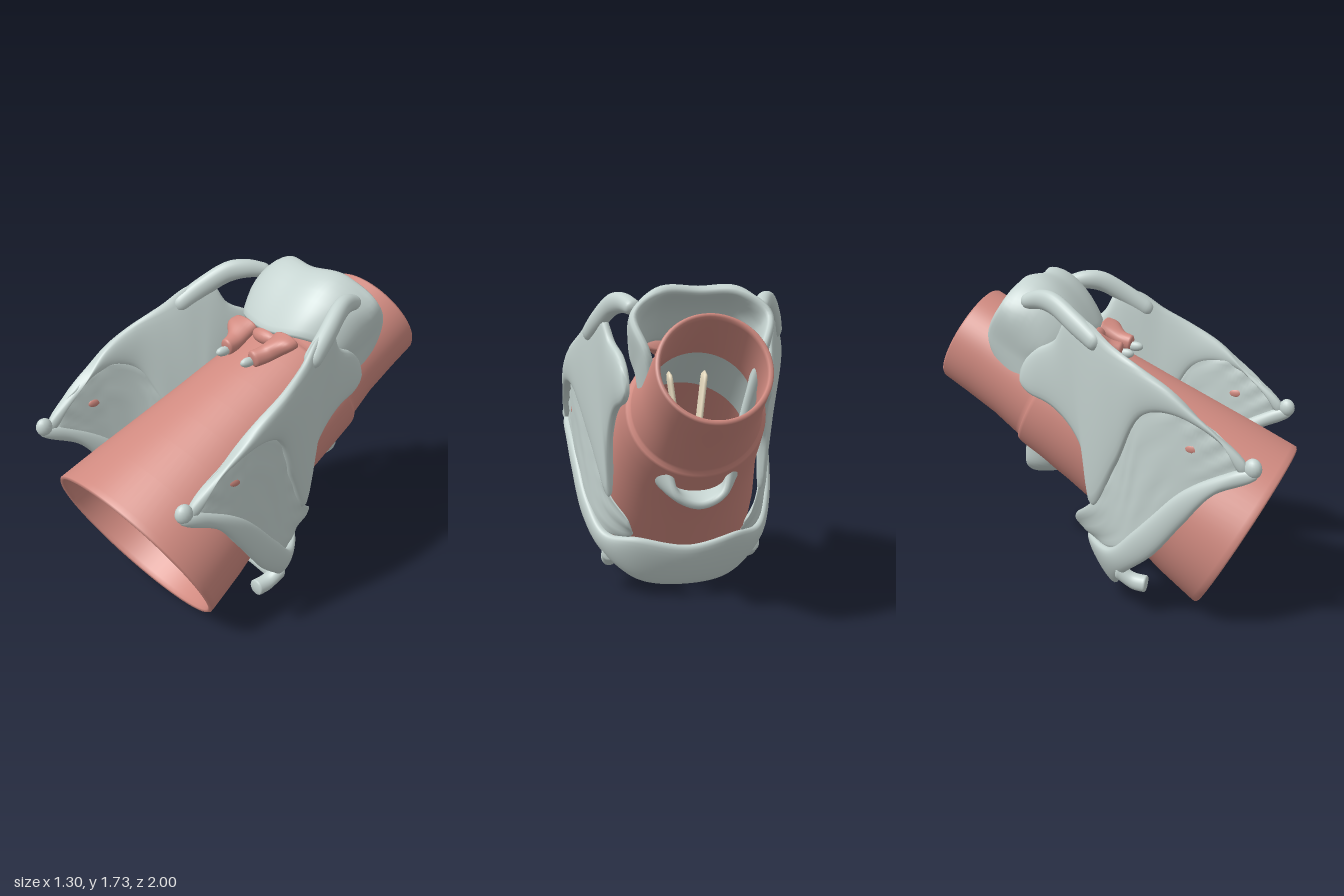
import * as THREE from 'three';
import { mergeVertices } from 'three/addons/utils/BufferGeometryUtils.js';

const mat = (color) => new THREE.MeshStandardMaterial({ color, side: THREE.DoubleSide });

export function createModel() {
  const group = new THREE.Group();
  const cartilage = mat(0xc5d3d0), mucosa = mat(0xd08a80), ligament = mat(0xe8dcc0), pit = mat(0x6b3a35);

  // Everything is laid out symmetrically, then sheared slightly sideways along z
  function add(name, geo, material) {
    geo.deleteAttribute('uv');
    geo.deleteAttribute('normal');
    const p = geo.attributes.position;
    for (let i = 0; i < p.count; i++) p.setX(i, p.getX(i) + 0.035 - 0.085 * p.getZ(i));
    const merged = mergeVertices(geo, 1e-5);
    merged.computeVertexNormals();
    const mesh = new THREE.Mesh(merged, material);
    mesh.name = name;
    group.add(mesh);
  }

  // Loft of flattened sections; each row holds the two edge points [ax,ay,az, bx,by,bz]
  function band(name, rows, th, material, { side = 1, closed = false, round = 0.6, bend } = {}) {
    const edge = (o) => new THREE.CatmullRomCurve3(
      rows.map((r) => new THREE.Vector3(r[o] * side, r[o + 1], r[o + 2])), closed);
    const A = edge(0), B = edge(3), N = rows.length * 9, M = 24, pos = [], idx = [];
    const mid = (t) => A.getPoint(t).add(B.getPoint(t)).multiplyScalar(0.5);
    for (let i = 0; i <= N; i++) {
      const t = i / N, c = mid(t);
      const half = A.getPoint(t).sub(c);
      const wrap = (v) => closed ? (v + 1) % 1 : Math.min(1, Math.max(0, v));
      const tangent = mid(wrap(t + 0.004)).sub(mid(wrap(t - 0.004)));
      const n = tangent.cross(half).normalize();
      const d = Math.min(1, Math.min(t, 1 - t) / 0.07);
      const k = closed ? 1 : Math.sqrt(1 - (1 - d) ** 2);
      for (let j = 0; j <= M; j++) {
        const f = (j % M) / M * Math.PI * 2, s = Math.sin(f);
        const q = c.clone().addScaledVector(half, Math.cos(f) * k)
          .addScaledVector(n, th * k * Math.sign(s) * Math.abs(s) ** round);
        if (bend) bend(q);
        pos.push(q.x, q.y, q.z);
        if (i < N && j < M) {
          const a = i * (M + 1) + j, b = a + M + 1;
          idx.push(a, a + 1, b, a + 1, b + 1, b);
        }
      }
    }
    const geo = new THREE.BufferGeometry();
    geo.setAttribute('position', new THREE.Float32BufferAttribute(pos, 3));
    geo.setIndex(idx);
    add(name, geo, material);
  }

  function blob(name, [x, y, z], [rx, ry, rz], material) {
    add(name, new THREE.SphereGeometry(1, 16, 12).scale(rx, ry, rz).translate(x, y, z), material);
  }

  // Tapering tube from [radius, distance] pairs, slightly oval, tilted 30 degrees
  function tube(name, profile, material) {
    const geo = new THREE.LatheGeometry(profile.map(([r, s]) => new THREE.Vector2(r, s)), 72);
    const p = geo.attributes.position;
    for (let i = 0; i < p.count; i++) {
      const s = p.getY(i) / 1.867;
      p.setX(i, p.getX(i) * (1.075 - 0.075 * s));
      p.setZ(i, p.getZ(i) + 0.035 * Math.sin(Math.PI * s) ** 2);
    }
    geo.applyMatrix4(new THREE.Matrix4().makeBasis(
      new THREE.Vector3(1, 0, 0), new THREE.Vector3(0, 0.5, -0.866), new THREE.Vector3(0, 0.866, 0.5)));
    add(name, geo.translate(0, 0.42, 0.755), material);
  }

  // Airway with a step towards the narrow end, and a pale lining in its middle
  tube('airwayTube', [[0.47, 0.03], [0.475, 0.008], [0.486, 0], [0.497, 0.01], [0.495, 0.04], [0.475, 0.25],
    [0.448, 0.45], [0.425, 0.62], [0.405, 0.78], [0.39, 0.95], [0.375, 1.15], [0.362, 1.28], [0.355, 1.3],
    [0.338, 1.305], [0.335, 1.33], [0.305, 1.5], [0.29, 1.7], [0.285, 1.855], [0.277, 1.867], [0.262, 1.864],
    [0.256, 1.84], [0.27, 1.5], [0.32, 1.25], [0.37, 0.8], [0.44, 0.35], [0.47, 0.03]], mucosa);
  tube('innerLining', [[0.362, 0.83], [0.347, 0.83], [0.337, 0.86], [0.3, 1.25], [0.27, 1.42]], cartilage);

  // Ring cartilage: tall bulging hood on top, narrow arch breaking out below the tube
  const ringHalf = [
    [0, 1.42, -0.1, 0, 1.67, -0.43],
    [0.2, 1.42, -0.14, 0.21, 1.69, -0.47],
    [0.31, 1.36, -0.26, 0.345, 1.59, -0.53],
    [0.3, 1.26, -0.36, 0.29, 1.41, -0.63],
    [0.27, 1.0, -0.32, 0.22, 1.1, -0.53],
    [0.27, 0.8, -0.24, 0.16, 0.84, -0.47],
    [0.17, 0.7, -0.22, 0.12, 0.67, -0.49],
    [0, 0.66, -0.3, 0, 0.61, -0.48]];
  const flip = (r) => [-r[0], r[1], r[2], -r[3], r[4], r[5]];
  const bulge = (q) => {
    const w = Math.min(1, Math.max(0, (-q.z - 0.1) / 0.37));
    q.y += 0.075 * Math.sin(Math.PI * w) * THREE.MathUtils.smoothstep(q.y, 1.35, 1.5);
  };
  band('ringCartilage', [...ringHalf, ...ringHalf.slice(1, -1).reverse().map(flip)], 0.032, cartilage,
    { closed: true, bend: bulge });

  // U-shaped bone sweeping below the tube
  const boneHalf = [
    [0.59, 0.95, 0.9, 0.6, 0.86, 0.91],
    [0.59, 0.9, 0.76, 0.58, 0.78, 0.69],
    [0.57, 0.77, 0.52, 0.56, 0.6, 0.53],
    [0.52, 0.51, 0.26, 0.52, 0.39, 0.36],
    [0.44, 0.36, 0.1, 0.43, 0.23, 0.18],
    [0.28, 0.36, -0.06, 0.26, 0.09, 0.09],
    [0, 0.31, -0.1, 0, 0.06, 0.04]];
  band('hyoidBone', [...boneHalf, ...boneHalf.slice(0, -1).reverse().map(flip)], 0.036, cartilage, { round: 0.8 });

  for (const side of [1, -1]) {
    const o = { side }, tag = side > 0 ? 'left' : 'right';
    // Side plate, from the slender front horn to the broad blade
    band(tag + 'SidePlate', [
      [0.59, 0.94, 0.88, 0.59, 0.86, 0.82],
      [0.6, 1.14, 0.62, 0.6, 1.03, 0.72],
      [0.61, 1.28, 0.46, 0.6, 1.16, 0.48],
      [0.595, 1.375, 0.3, 0.57, 1.13, 0.31],
      [0.55, 1.465, 0.14, 0.49, 0.83, 0.15],
      [0.495, 1.56, 0, 0.425, 0.58, 0],
      [0.455, 1.56, -0.12, 0.42, 0.9, -0.06],
      [0.42, 1.44, -0.2, 0.4, 1.08, -0.22],
      [0.375, 1.36, -0.38, 0.36, 1.15, -0.46]], 0.034, cartilage, o);
    // Hooked rear horn
    band(tag + 'RearHorn', [
      [0.53, 1.48, 0.1, 0.515, 1.4, 0.06],
      [0.48, 1.59, -0.05, 0.465, 1.49, -0.09],
      [0.42, 1.675, -0.2, 0.41, 1.56, -0.2],
      [0.375, 1.68, -0.3, 0.365, 1.58, -0.28],
      [0.32, 1.64, -0.42, 0.32, 1.57, -0.4]], 0.043, cartilage, { side, round: 0.9 });
    // Thin membrane between plate and bone, gently rippled
    band(tag + 'Membrane', [
      [0.585, 0.99, 0.8, 0.585, 0.84, 0.79],
      [0.585, 1.1, 0.67, 0.575, 0.78, 0.64],
      [0.58, 1.19, 0.48, 0.56, 0.66, 0.48],
      [0.555, 1.14, 0.3, 0.53, 0.48, 0.33],
      [0.475, 0.83, 0.14, 0.48, 0.39, 0.2],
      [0.42, 0.6, 0, 0.4, 0.35, 0.08],
      [0.33, 0.47, -0.16, 0.29, 0.35, -0.04]], 0.009, cartilage,
    { side, bend: (q) => { q.x += 0.004 * Math.sin(55 * (q.y - 0.55 * q.z)); } });
    blob(tag + 'MembraneOpening', [side * 0.577, 0.99, 0.57], [0.014, 0.025, 0.04], mucosa);
    // Knobs of the U-shaped bone
    blob(tag + 'BoneTip', [side * 0.59, 0.93, 0.87], [0.036, 0.05, 0.045], cartilage);
    band(tag + 'LesserHorn', [
      [0.42, 0.3, 0.14, 0.42, 0.2, 0.12],
      [0.41, 0.23, 0.22, 0.41, 0.14, 0.22],
      [0.41, 0.22, 0.31, 0.41, 0.13, 0.3]], 0.042, cartilage, { side, round: 0.9 });
    // Small paired pieces on top, with pale tips and cords running through the lumen
    band(tag + 'UpperPiece', [
      [0.24, 1.42, -0.12, 0.07, 1.42, -0.12],
      [0.235, 1.41, -0.06, 0.075, 1.385, -0.07],
      [0.17, 1.36, 0, 0.07, 1.35, 0],
      [0.135, 1.34, 0.08, 0.065, 1.33, 0.07]], 0.046, mucosa, { side, round: 0.9 });
    blob(tag + 'UpperPieceTip', [side * 0.095, 1.325, 0.09], [0.022, 0.026, 0.045], cartilage);
    band(tag + 'Cord', [
      [0.1, 1.26, 0.02, 0.1, 1.26, -0.1],
      [0.06, 0.95, 0, 0.06, 0.95, -0.12],
      [0.02, 0.62, -0.02, 0.02, 0.62, -0.12]], 0.015, ligament, o);
  }
  blob('upperFold', [0, 1.39, -0.11], [0.09, 0.045, 0.05], mucosa);

  // Spoon-shaped flap inside the wide end, with pits and a stem
  const cup = (q) => { q.z += 1.4 * q.x * q.x; };
  band('flap', [
    [0.2, 0.8, 0.25, -0.2, 0.8, 0.25],
    [0.255, 0.76, 0.26, -0.255, 0.76, 0.26],
    [0.24, 0.68, 0.26, -0.24, 0.68, 0.26],
    [0.2, 0.59, 0.27, -0.2, 0.59, 0.27],
    [0.17, 0.53, 0.29, -0.17, 0.53, 0.29],
    [0.12, 0.485, 0.32, -0.12, 0.485, 0.32]], 0.018, mucosa, { bend: cup });
  for (let r = 0; r < 4; r++) for (const side of [-1, 1]) for (let c = 0; c < 3; c++) {
    const x = side * (0.06 + c * 0.045 + r * 0.012 - (c % 2) * 0.008);
    const y = 0.6 + r * 0.045 + c * 0.012;
    blob('flapPit', [x, y, 0.283 + 1.4 * x * x], [0.01, 0.005, 0.006], pit);
  }
  band('flapStem', [
    [0.022, 0.52, 0.28, -0.022, 0.52, 0.28],
    [0.018, 0.4, 0.24, -0.018, 0.4, 0.24],
    [0.012, 0.29, 0.21, -0.012, 0.29, 0.21]], 0.02, cartilage);

  return group;
}
